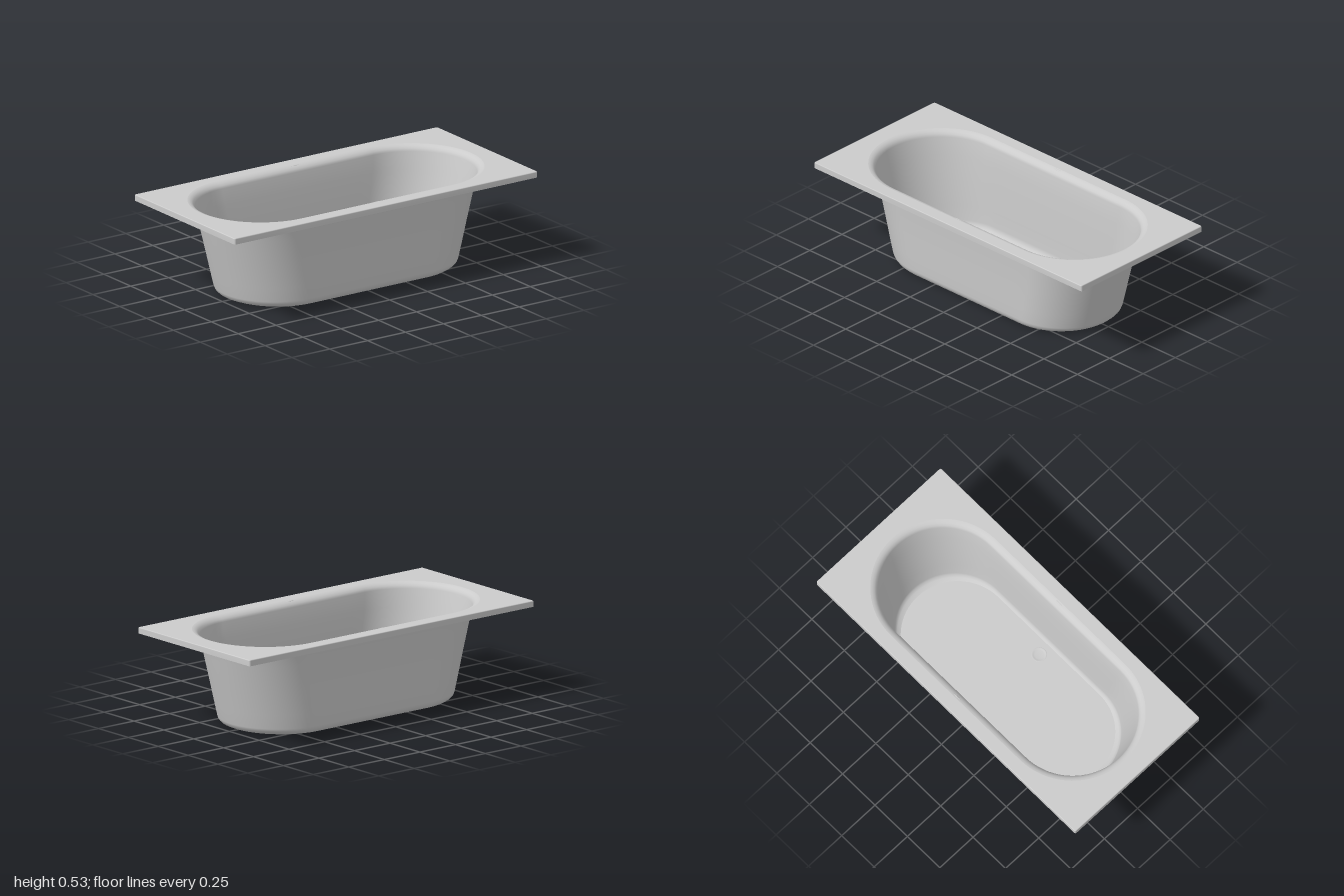
import * as THREE from 'three';

const material = new THREE.MeshStandardMaterial({ color: 0xcccccc, side: THREE.DoubleSide });

// Outline of two half circles joined by straight sides, as [x, z] points
function stadium(hx, hz) {
  const pts = [], arc = 36, side = 12, s = hx - hz;
  for (const sign of [1, -1]) {
    for (let i = 0; i <= arc; i++) {
      const a = -Math.PI / 2 + (Math.PI * i) / arc;
      pts.push([sign * (s + hz * Math.cos(a)), sign * hz * Math.sin(a)]);
    }
    for (let i = 1; i < side; i++) pts.push([sign * (s - (2 * s * i) / side), sign * hz]);
  }
  return pts;
}

// Rectangle outline with small rounded corners
function rectangle(hx, hz, r) {
  const pts = [], n = 4;
  [[1, 1], [-1, 1], [-1, -1], [1, -1]].forEach(([sx, sz], q) => {
    for (let i = 0; i <= n; i++) {
      const a = (Math.PI / 2) * (q + i / n);
      pts.push([sx * (hx - r) + r * Math.cos(a), sz * (hz - r) + r * Math.sin(a)]);
    }
  });
  return pts;
}

// Skin over closed rings, each { y, pts }
function loft(rings) {
  const pos = [], idx = [], n = rings[0].pts.length;
  for (const { y, pts } of rings) for (const [x, z] of pts) pos.push(x, y, z);
  for (let r = 0; r < rings.length - 1; r++) {
    for (let i = 0; i < n; i++) {
      const a = r * n + i, b = r * n + ((i + 1) % n);
      idx.push(a, b, a + n, b, b + n, a + n);
    }
  }
  const g = new THREE.BufferGeometry();
  g.setAttribute('position', new THREE.Float32BufferAttribute(pos, 3));
  g.setIndex(idx);
  g.computeVertexNormals();
  return g;
}

// Horizontal sheet with one hole
function sheet(outline, hole, y) {
  const v = (pts) => pts.map(([x, z]) => new THREE.Vector2(x, -z));
  const shape = new THREE.Shape(v(outline));
  shape.holes.push(new THREE.Path(v(hole)));
  return new THREE.ShapeGeometry(shape).rotateX(-Math.PI / 2).translate(0, y, 0);
}

export function createModel() {
  const group = new THREE.Group();
  const add = (name, geometry, x = 0, y = 0, z = 0) => {
    const mesh = new THREE.Mesh(geometry, material);
    mesh.name = name;
    mesh.position.set(x, y, z);
    group.add(mesh);
    return mesh;
  };

  const top = 0.53, floorY = 0.004, drainZ = 0.235, drainR = 0.042;

  // Basin wall: rounded lip, sloping sides, rounded foot; rows of [y, half length, half width]
  const wall = [
    [top, 0.892, 0.394], [0.528, 0.882, 0.384], [0.522, 0.87, 0.372], [0.512, 0.86, 0.36],
    [0.497, 0.852, 0.353], [0.4, 0.829, 0.343], [0.25, 0.79, 0.334], [0.12, 0.757, 0.329],
    [0.04, 0.736, 0.325], [0.025, 0.73, 0.322], [0.013, 0.717, 0.316], [floorY, 0.695, 0.307],
  ];
  add('basinWall', loft(wall.map(([y, hx, hz]) => ({ y, pts: stadium(hx, hz) }))));

  // Basin floor with the drain opening
  const drainHole = [];
  for (let i = 0; i < 32; i++) {
    const a = (i / 32) * Math.PI * 2;
    drainHole.push([drainR * Math.cos(a), drainZ + drainR * Math.sin(a)]);
  }
  add('basinFloor', sheet(stadium(0.695, 0.307), drainHole, floorY));

  // Drain cup
  const drainProfile = [[0, 0.001], [0.022, 0.001], [0.026, 0.003], [0.031, 0.002], [0.037, 0.006], [drainR, floorY]]
    .map(([x, y]) => new THREE.Vector2(x, y));
  add('drain', new THREE.LatheGeometry(drainProfile, 32), 0, 0, drainZ);

  // Flat rim and its turned-down edge
  add('rim', sheet(rectangle(0.996, 0.464, 0.008), stadium(0.892, 0.394), top));
  const edge = [[top, 0.996, 0.464], [0.5285, 0.999, 0.467], [0.525, 1, 0.468], [0.496, 1, 0.468]];
  add('rimEdge', loft(edge.map(([y, hx, hz]) => ({ y, pts: rectangle(hx, hz, 0.009) }))));

  // Small overflow slots at the middle of each long side
  for (const s of [1, -1]) {
    const slot = add(s > 0 ? 'frontOverflow' : 'backOverflow', new THREE.SphereGeometry(1, 24, 12), 0, 0.524, s * 0.385);
    slot.scale.set(0.042, 0.005, 0.007);
  }
  return group;
}
